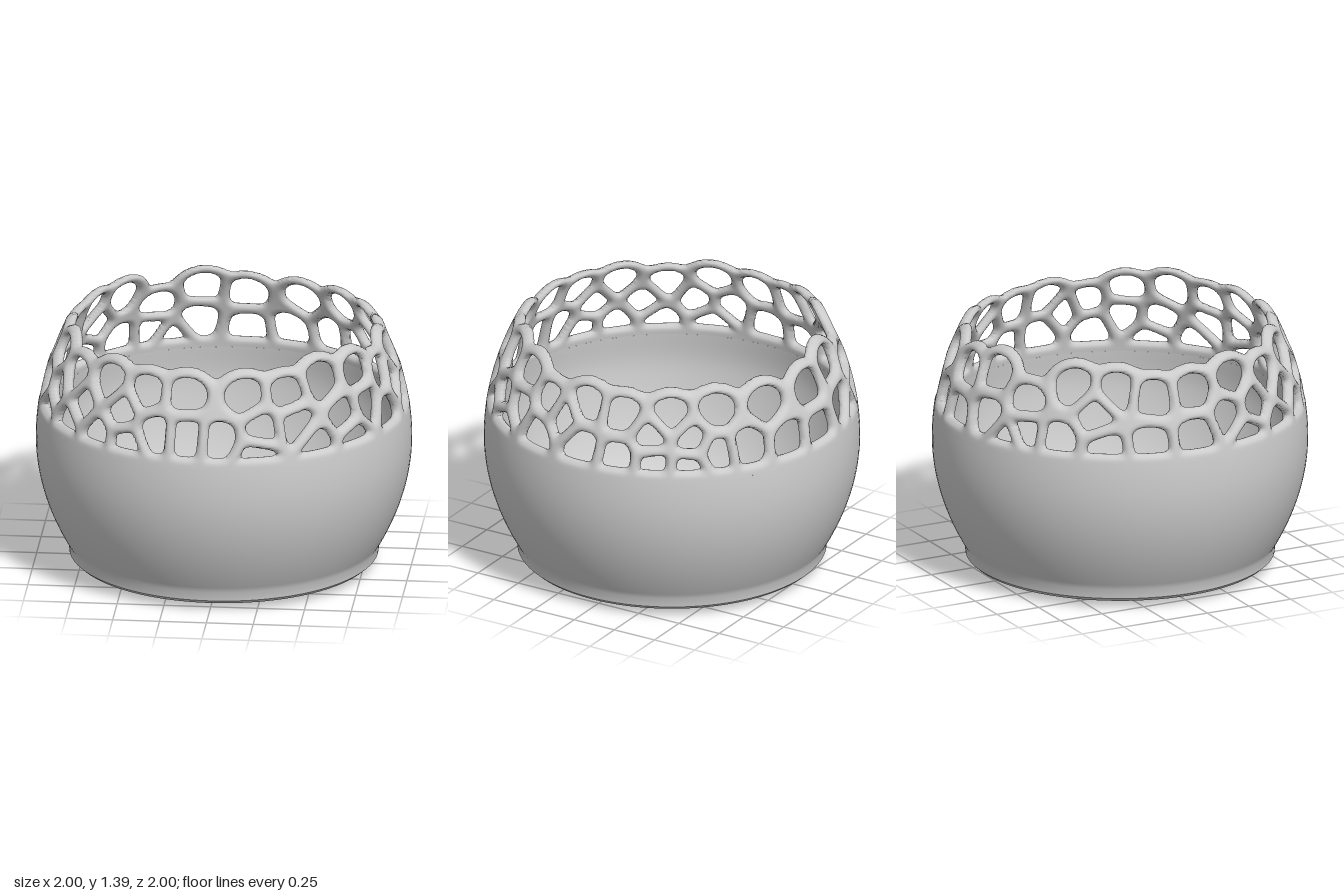
import * as THREE from 'three';
import { mergeVertices } from 'three/addons/utils/BufferGeometryUtils.js';

const material = new THREE.MeshStandardMaterial({ color: 0xcccccc });
const WALL = 0.06; // wall thickness at the top
const SEAM = 0.86; // height where the solid bowl meets the pierced band
const TOP = 1.42;
const STRUT = 0.028; // half the width of a strut
const V = (x, y) => new THREE.Vector2(x, y);
const outerRadius = (y) => 1 - (y < 0.7 ? 0.5 : 0.4) * (y - 0.7) ** 2;

// Centres of the openings around the band: [degrees from the front, height]
const upperHoles = [
  [-57, 1.19], [-39, 1.23], [-23, 1.22], [-8, 1.23], [13, 1.23], [28, 1.22], [43, 1.26],
  [60, 1.24], [74, 1.17], [90, 1.21], [104, 1.19], [121, 1.2], [137, 1.21], [156, 1.2],
  [177, 1.2], [193, 1.24], [209, 1.14], [226, 1.25], [241, 1.24], [254, 1.2], [269, 1.21], [286, 1.23],
];
const lowerHoles = [
  [-72, 0.93], [-67, 1.08], [-55, 0.94], [-49, 1.07], [-40, 0.95], [-31, 1.1], [-28, 0.94],
  [-18, 1.03], [-7, 1.03], [4, 1.02], [18, 1.06], [16, 0.92], [30, 1.07], [37, 0.94], [49, 1.06],
  [52, 0.93], [61, 1.08], [72, 0.99], [82, 1.11], [90, 1.0], [104, 0.97], [114, 1.08], [115, 0.95],
  [128, 1.07], [127, 0.93], [136, 1.0], [147, 1.02], [163, 1.0], [177, 0.98], [194, 1.03],
  [203, 0.92], [210, 0.99], [222, 0.98], [234, 1.11], [238, 0.94], [252, 0.97], [268, 0.99], [281, 1.06],
];
const holes = [...upperHoles, ...lowerHoles].map(([deg, y]) => ({ u: THREE.MathUtils.degToRad(deg) * 0.92, y }));
const LAP = Math.PI * 2 * 0.92; // length of the unrolled band

function smoothMin(values, s) {
  const low = Math.min(...values);
  return low - s * Math.log(values.reduce((sum, v) => sum + Math.exp((low - v) / s), 0));
}

// Depth of material at a point of the unrolled band (negative in an opening or above the rim)
function materialDepth(u, y) {
  const near = [];
  for (const h of holes) {
    let du = u - h.u;
    du -= Math.round(du / LAP) * LAP;
    const dy = y - h.y;
    if (Math.abs(du) > 0.6) continue;
    near.push({ du, dy, dist: Math.hypot(du, dy), cap: Math.hypot(du * 0.8, dy * (dy > 0 ? 1.15 : 0.7)) });
  }
  near.sort((a, b) => a.dist - b.dist);
  const first = near[0];
  // distance to the borders of the cell round the nearest centre
  const borders = near.slice(1).map((o) =>
    (o.dist ** 2 - first.dist ** 2) / (2 * Math.hypot(o.du - first.du, o.dy - first.dy)));
  const opening = smoothMin([...borders, 0.125 - first.cap, y - 0.885], 0.011);
  // scalloped rim that follows the upper openings
  const rim = Math.max(0.155 - smoothMin(near.map((o) => o.cap), 0.018), 1.13 - y);
  return Math.max(Math.min(STRUT - opening, rim), 0.9 - y);
}

// Band cut from a grid, its struts rounded toward the edges of the openings
function latticeGeometry() {
  const cols = 420, rows = 44;
  const grid = [];
  for (let j = 0; j <= rows; j++) {
    const y = SEAM + ((TOP - SEAM) * j) / rows;
    grid.push([]);
    for (let i = 0; i <= cols; i++) {
      const a = ((i % cols) / cols) * Math.PI * 2;
      grid[j].push({ a: (i / cols) * Math.PI * 2, y, d: materialDepth(a * 0.92, y) });
    }
  }
  const positions = [];
  const put = (p, side) => {
    const k = Math.min(Math.max(p.d / 0.03, 0), 1);
    const half = (WALL / 2) * Math.sqrt(1 - (1 - k) ** 2);
    const r = outerRadius(p.y) - WALL / 2 + side * half;
    positions.push(r * Math.sin(p.a), p.y, r * Math.cos(p.a));
  };
  const cut = (p, q) => {
    const t = p.d / (p.d - q.d);
    return { a: p.a + (q.a - p.a) * t, y: p.y + (q.y - p.y) * t, d: 0 };
  };
  const addTriangle = (corners) => {
    const poly = [];
    corners.forEach((p, i) => {
      const q = corners[(i + 1) % 3];
      if (p.d > 0) poly.push(p);
      if (p.d > 0 !== q.d > 0) poly.push(p.d > 0 ? cut(p, q) : cut(q, p));
    });
    for (let i = 1; i + 1 < poly.length; i++) {
      [poly[0], poly[i], poly[i + 1]].forEach((p) => put(p, 1));
      [poly[0], poly[i + 1], poly[i]].forEach((p) => put(p, -1));
    }
  };
  for (let j = 0; j < rows; j++) {
    for (let i = 0; i < cols; i++) {
      const a = grid[j][i], b = grid[j][i + 1], c = grid[j + 1][i + 1], d = grid[j + 1][i];
      addTriangle([a, b, c]);
      addTriangle([a, c, d]);
    }
  }
  const geometry = new THREE.BufferGeometry();
  geometry.setAttribute('position', new THREE.Float32BufferAttribute(positions, 3));
  const merged = mergeVertices(geometry, 1e-5);
  merged.computeVertexNormals();
  return merged;
}

export function createModel() {
  const group = new THREE.Group();
  const add = (name, geometry) => {
    const mesh = new THREE.Mesh(geometry, material);
    mesh.name = name;
    group.add(mesh);
  };
  const turn = (name, points) => add(name, new THREE.LatheGeometry(points, 120));

  // Slightly domed underside and its narrow bevel
  turn('underside', [V(0, 0), V(0.3, 0.004), V(0.55, 0.018), V(0.8, 0.04)]);
  turn('footBevel', [V(0.8, 0.04), V(0.822, 0.06)]);

  // Rounded outside of the bowl
  const outside = [V(0.822, 0.06)];
  for (let i = 0; i <= 24; i++) {
    const y = 0.11 + ((SEAM - 0.11) * i) / 24;
    outside.push(V(outerRadius(y), y));
  }
  turn('bowlOutside', outside);

  // Inside wall and flat floor
  const inside = new THREE.SplineCurve([
    V(outerRadius(SEAM) - WALL, SEAM), V(0.938, 0.68), V(0.89, 0.45), V(0.82, 0.28), V(0.74, 0.17), V(0.655, 0.12),
  ]);
  turn('bowlInside', inside.getPoints(30));
  turn('floor', [V(0.655, 0.12), V(0, 0.12)]);

  // Pierced band with a wavy rim
  add('latticeRim', latticeGeometry());
  return group;
}
